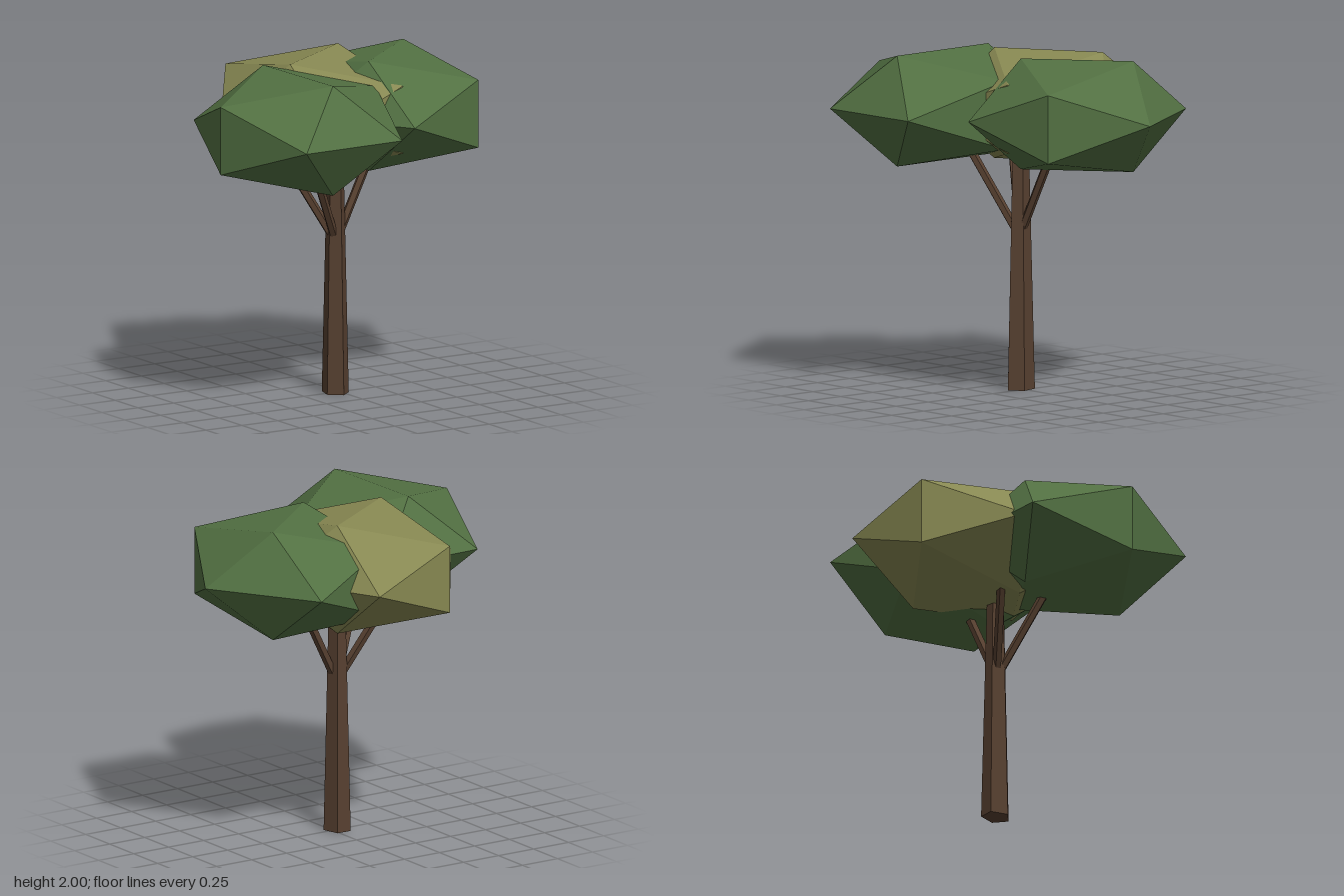
import * as THREE from 'three';

const flat = (name, color) => {
  const m = new THREE.MeshStandardMaterial({ color, flatShading: true });
  m.name = name;
  return m;
};

export function createModel() {
  const bark = flat('bark brown', 0x574030);
  const green = flat('leaf green', 0x527042);
  const olive = flat('leaf olive', 0x878852);
  const tree = new THREE.Group();
  tree.name = 'tree';

  const add = (name, geometry, material) => {
    const mesh = new THREE.Mesh(geometry, material);
    mesh.name = name;
    tree.add(mesh);
    return mesh;
  };

  // Tapered five-sided trunk, slightly deeper than wide
  const trunk = add('trunk', new THREE.CylinderGeometry(0.048, 0.079, 1.42, 5), bark);
  trunk.scale.z = 1.19;
  trunk.position.set(-0.035, 0.71, 0.006);

  // Three branches fanning out from the trunk into the crowns
  const fork = new THREE.Vector3(-0.035, 0.91, 0.01);
  const up = new THREE.Vector3(0, 1, 0);
  const branches = [
    ['frontRightBranch', -0.3, 0.19],
    ['backRightBranch', -0.3, -0.19],
    ['leftBranch', 0.3, -0.02],
  ];
  for (const [name, dx, dz] of branches) {
    const dir = new THREE.Vector3(dx, 0.59, dz);
    const branch = add(name, new THREE.CylinderGeometry(0.027, 0.027, dir.length(), 5), bark);
    branch.position.copy(fork).addScaledVector(dir, 0.5);
    branch.quaternion.setFromUnitVectors(up, dir.normalize());
  }

  // Crowns: icosahedra flattened and turned; each has a centre and two ground-plane axes
  const crown = (name, material, [cx, cz], [ax, az], [bx, bz]) => {
    const placement = new THREE.Matrix4().makeBasis(
      new THREE.Vector3(ax, 0, az),
      new THREE.Vector3(0, 0.388, 0),
      new THREE.Vector3(bx, 0, bz),
    ).setPosition(cx, 1.67, cz);
    const geometry = new THREE.IcosahedronGeometry(1, 0).applyMatrix4(placement);
    geometry.computeVertexNormals();
    add(name, geometry, material);
  };
  crown('frontRightCrown', green, [-0.45, 0.25], [0.024, 0.694], [-0.647, 0.02]);
  crown('leftCrown', green, [0.375, -0.085], [0.49, -0.41], [0.382, 0.594]);
  crown('backCrown', olive, [-0.04, -0.22], [0.533, -0.342], [0.317, 0.647]);

  return tree;
}
